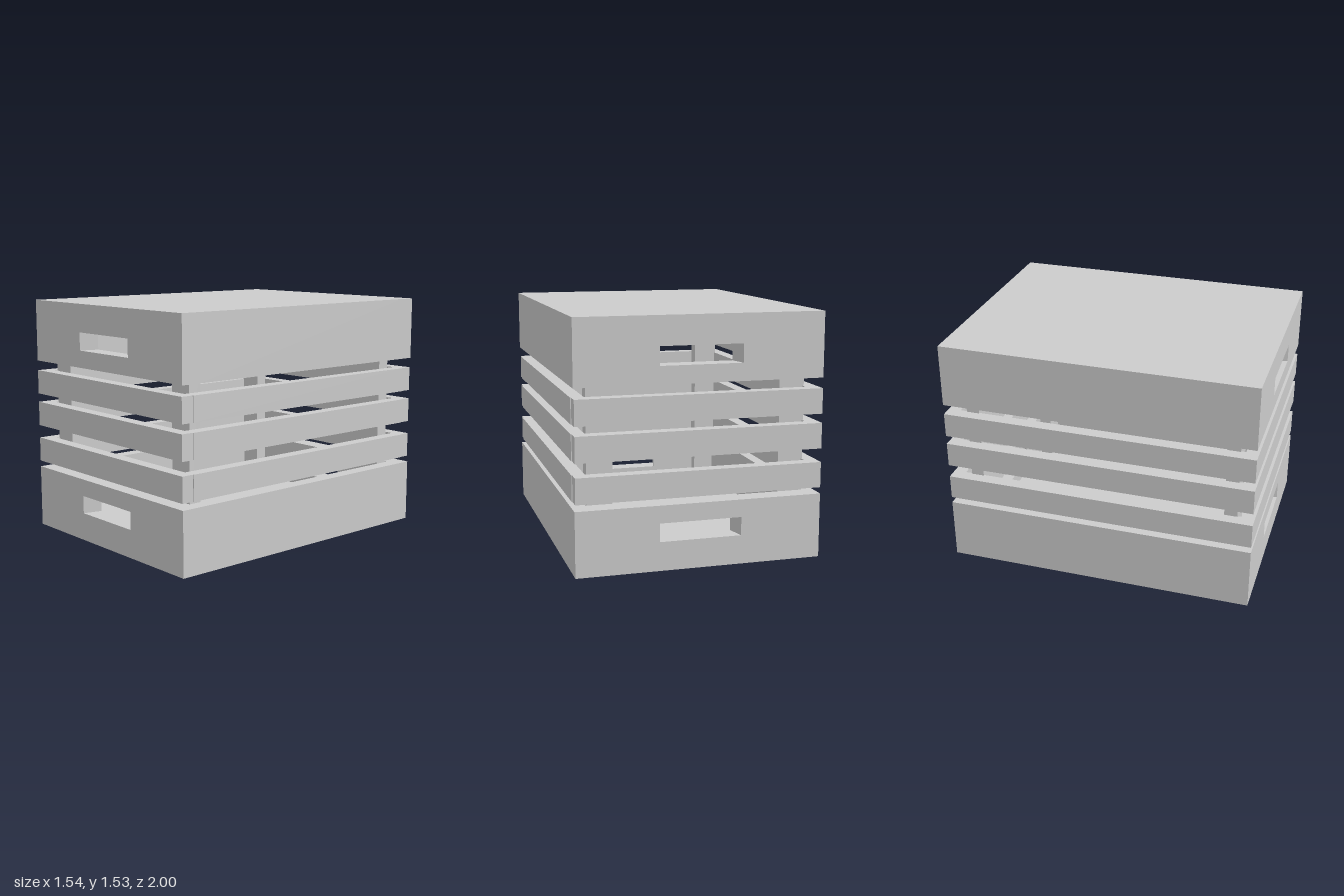
import * as THREE from 'three';

const W = 1.545, H = 1.535, D = 2;      // overall size
const TRAY = 0.405, END = 0.12, SIDE = 0.09, FLOOR = 0.09;
const material = new THREE.MeshStandardMaterial({ color: 0xcccccc, flatShading: true });

function add(parent, name, geometry, x = 0, y = 0, z = 0) {
  const mesh = new THREE.Mesh(geometry, material);
  mesh.name = name;
  mesh.position.set(x, y, z);
  parent.add(mesh);
  return mesh;
}

const box = (w, h, d) => new THREE.BoxGeometry(w, h, d);

function rectangle(path, x0, y0, x1, y1) {
  path.moveTo(x0, y0);
  path.lineTo(x1, y0);
  path.lineTo(x1, y1);
  path.lineTo(x0, y1);
  path.closePath();
  return path;
}

// End panel with a hand slot that narrows towards the inside (z = 0)
function endPanelGeometry() {
  const shape = rectangle(new THREE.Shape(), -W / 2, 0, W / 2, TRAY);
  shape.holes.push(rectangle(new THREE.Path(), -0.257, 0.18, 0.257, 0.295));
  const geometry = new THREE.ExtrudeGeometry(shape, { depth: END, bevelEnabled: false });
  const p = geometry.attributes.position;
  for (let i = 0; i < p.count; i++) {
    if (Math.abs(p.getX(i)) < 0.3 && p.getZ(i) < 0.01) p.setX(i, p.getX(i) * 0.89);
  }
  geometry.computeVertexNormals();
  return geometry;
}

// Open tray: floor, two slotted ends, two plain sides
function tray(name) {
  const group = new THREE.Group();
  group.name = name;
  const inner = D - 2 * END;
  add(group, 'panelFloor', box(W - 2 * SIDE, FLOOR, inner), 0, FLOOR / 2, 0);
  for (const s of [1, -1]) {
    const end = add(group, s > 0 ? 'frontEnd' : 'backEnd', endPanelGeometry(), 0, 0, s * (D / 2 - END));
    if (s < 0) end.rotation.y = Math.PI;
    add(group, s > 0 ? 'leftSide' : 'rightSide', box(SIDE, TRAY, inner), s * (W - SIDE) / 2, TRAY / 2, 0);
  }
  return group;
}

export function createModel() {
  const model = new THREE.Group();
  model.name = 'slattedCrate';

  // Base and its upside-down twin as the lid
  model.add(tray('base'));
  const lid = tray('lid');
  lid.rotation.z = Math.PI;
  lid.position.y = H;
  model.add(lid);

  // Three rings of slats
  const t = 0.08;
  for (const [y0, y1] of [[0.445, 0.605], [0.69, 0.85], [0.907, 1.065]]) {
    const h = y1 - y0, y = (y0 + y1) / 2;
    for (const s of [1, -1]) {
      add(model, s > 0 ? 'frontSlat' : 'backSlat', box(W - 0.005, h, t), -0.0025, y, s * (D - t) / 2);
      add(model, s > 0 ? 'leftSlat' : 'rightSlat', box(t, h, D - 2 * t), s * (W - t) / 2, y, 0);
    }
  }

  // Inner corner posts
  for (const [x, z] of [[0.595, 0.83], [-0.62, 0.85], [0.595, -0.833], [-0.62, -0.833]]) {
    add(model, 'cornerPost', box(0.16, H - 2 * FLOOR, 0.083), x, H / 2, z);
  }
  return model;
}
